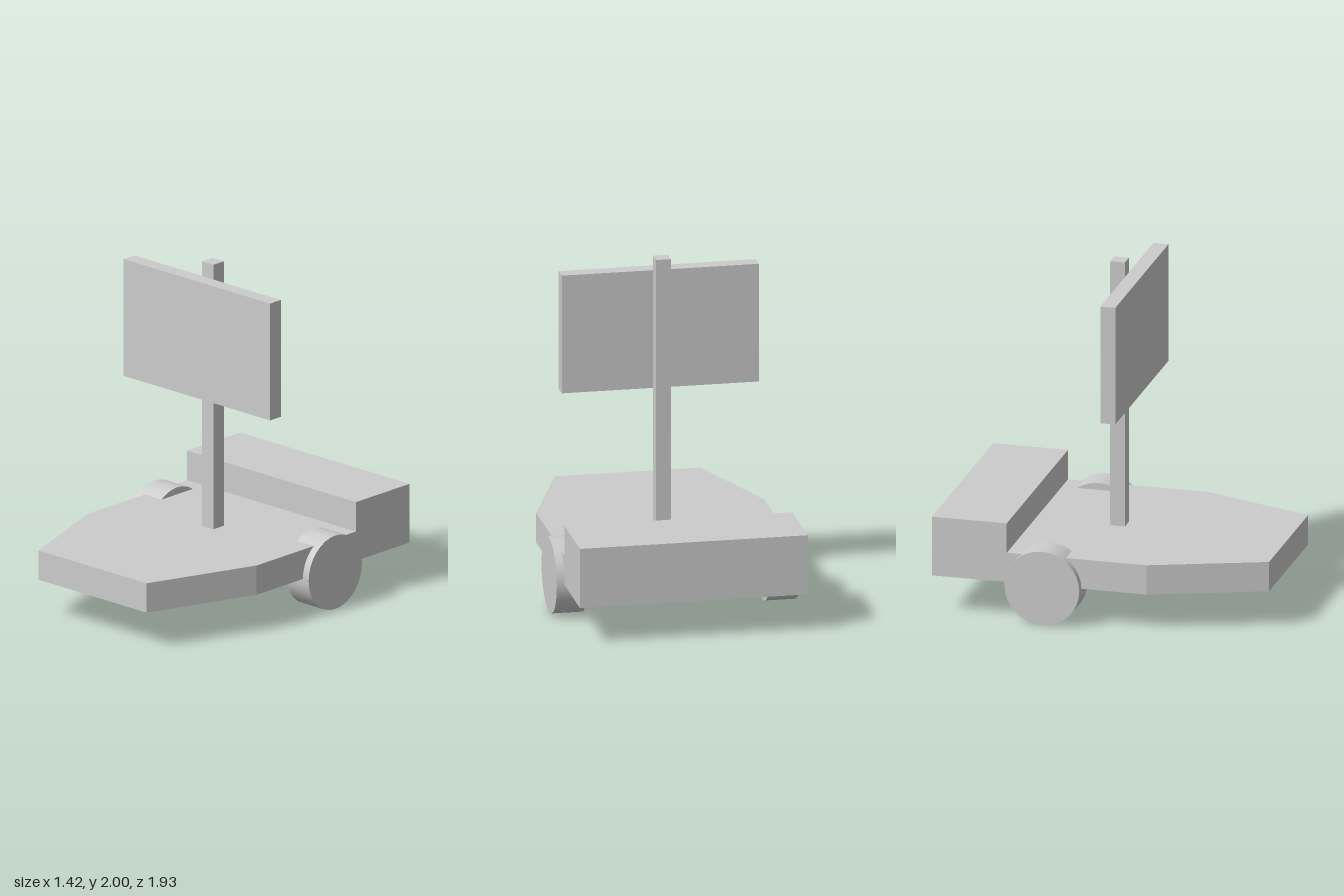
import * as THREE from 'three';

export function createModel() {
  const group = new THREE.Group();
  const material = new THREE.MeshStandardMaterial({ color: 0xcccccc });

  const add = (name, geometry, x, y, z) => {
    const mesh = new THREE.Mesh(geometry, material);
    mesh.name = name;
    mesh.position.set(x, y, z);
    group.add(mesh);
    return mesh;
  };

  // Box given by its extents on each axis
  const addBox = (name, [x0, x1], [y0, y1], [z0, z1]) =>
    add(name, new THREE.BoxGeometry(x1 - x0, y1 - y0, z1 - z0),
      (x0 + x1) / 2, (y0 + y1) / 2, (z0 + z1) / 2);

  const halfWidth = 0.665, noseHalfWidth = 0.424;
  const bottom = 0.225, deckTop = 0.402;
  const back = -0.967, front = 0.967, stepZ = -0.523, taperZ = 0.305;

  // Flat deck, tapering to a narrower nose; outline drawn with shape y = -z
  const outline = new THREE.Shape([
    [-halfWidth, -stepZ], [-halfWidth, -taperZ], [-noseHalfWidth, -front],
    [noseHalfWidth, -front], [halfWidth, -taperZ], [halfWidth, -stepZ],
  ].map(([x, y]) => new THREE.Vector2(x, y)));
  const deck = new THREE.ExtrudeGeometry(outline, { depth: deckTop - bottom, bevelEnabled: false });
  deck.rotateX(-Math.PI / 2);
  add('deck', deck, 0, bottom, 0);

  // Raised block across the back
  addBox('rearBlock', [-halfWidth, halfWidth], [bottom, 0.58], [back, stepZ]);

  // Post and the board fixed to its front
  addBox('mast', [-0.044, 0.044], [deckTop, 2], [-0.08, 0.008]);
  addBox('board', [-0.577, 0.575], [1.206, 1.912], [0.008, 0.097]);

  // Wheels set into the deck sides
  const radius = 0.222;
  const wheel = new THREE.CylinderGeometry(radius, radius, 0.178, 32);
  wheel.rotateZ(Math.PI / 2);
  for (const side of [-1, 1]) {
    add(side > 0 ? 'leftWheel' : 'rightWheel', wheel, side * 0.622, radius, -0.302);
  }

  return group;
}
